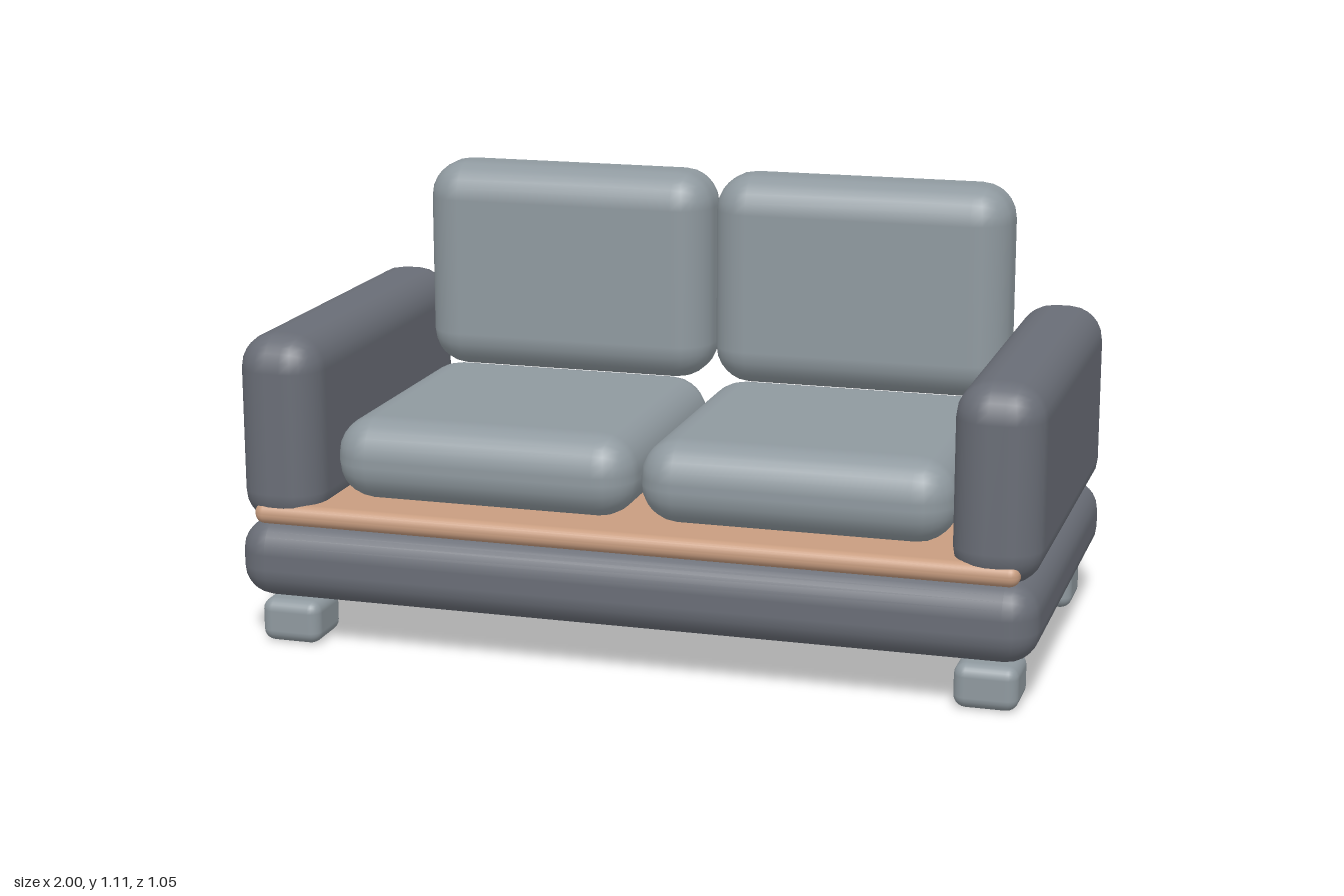
import * as THREE from 'three';
import { RoundedBoxGeometry } from 'three/addons/geometries/RoundedBoxGeometry.js';

const material = (name, color) => {
  const m = new THREE.MeshStandardMaterial({ color });
  m.name = name;
  return m;
};

export function createModel() {
  const sofa = new THREE.Group();
  sofa.name = 'sofa';
  const darkFabric = material('dark fabric', 0x696d76);
  const lightFabric = material('light fabric', 0x8f999f);
  const wood = material('wood', 0xc89d80);

  // Rounded block given by its extents along each axis
  function block(name, mat, [x0, x1], [y0, y1], [z0, z1], radius) {
    const geometry = new RoundedBoxGeometry(x1 - x0, y1 - y0, z1 - z0, 3, radius);
    const mesh = new THREE.Mesh(geometry, mat);
    mesh.name = name;
    mesh.position.set((x0 + x1) / 2, (y0 + y1) / 2, (z0 + z1) / 2);
    sofa.add(mesh);
  }

  // Upholstered base and the wooden board on top of it
  block('base', darkFabric, [-1, 1], [0.12, 0.318], [-0.525, 0.525], 0.08);
  block('board', wood, [-0.955, 0.955], [0.312, 0.365], [-0.508, 0.508], 0.025);

  for (const [side, s] of [['left', 1], ['right', -1]]) {
    // Extents mirrored across x = 0
    const span = (a, b) => (s > 0 ? [a, b] : [-b, -a]);

    block(side + 'Armrest', darkFabric, span(0.785, 1), [0.302, 0.785], [-0.508, 0.508], 0.088);
    block(side + 'SeatCushion', lightFabric, span(0.005, 0.78), [0.362, 0.57], [-0.34, 0.435], 0.095);
    block(side + 'BackCushion', lightFabric, span(0.005, 0.78), [0.555, 1.105], [-0.463, -0.237], 0.095);

    // Front and back feet
    block(side + 'FrontFoot', lightFabric, span(0.8, 0.955), [0, 0.11], [0.327, 0.482], 0.03);
    block(side + 'BackFoot', lightFabric, span(0.8, 0.955), [0, 0.11], [-0.482, -0.327], 0.03);
  }
  return sofa;
}
